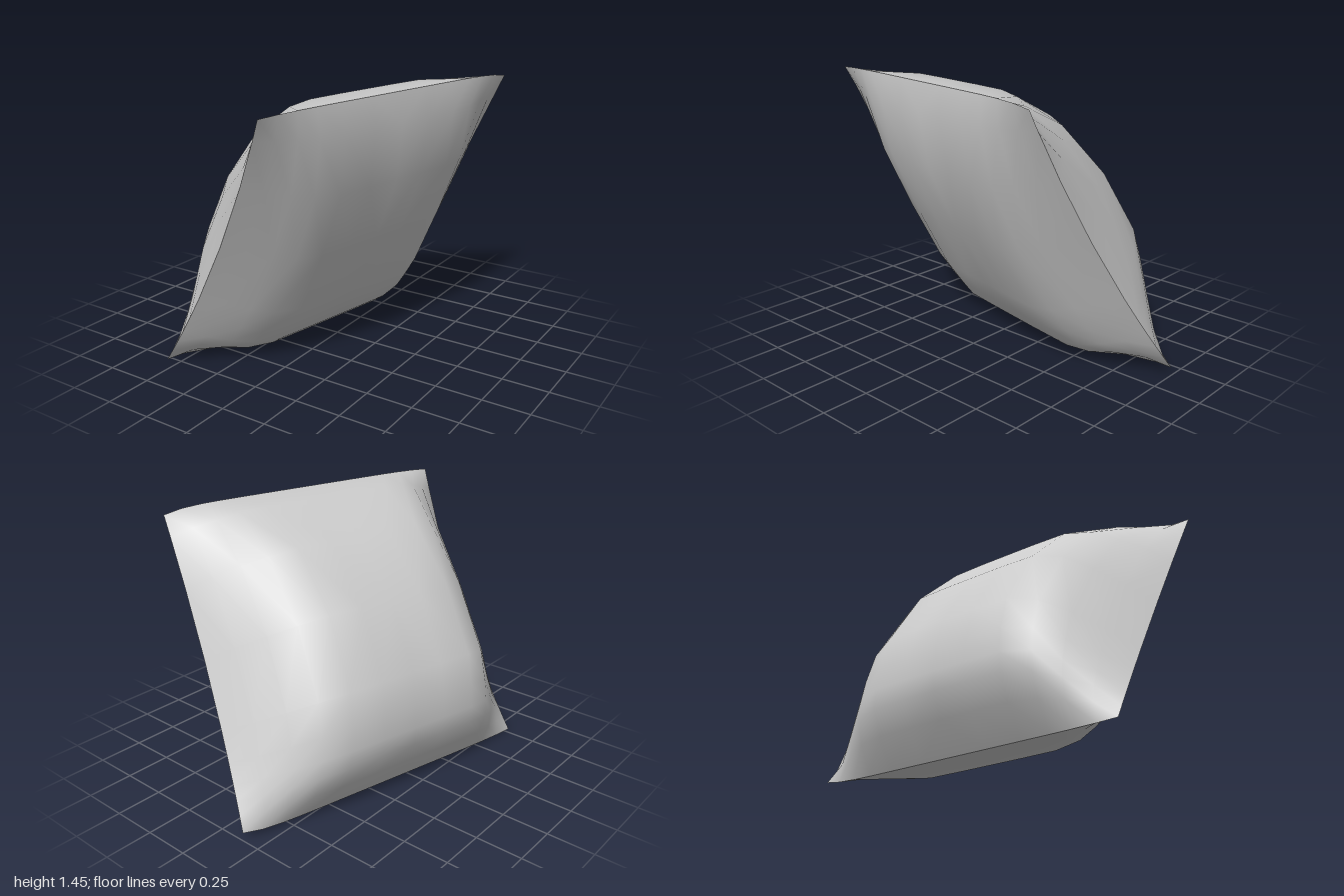
import * as THREE from 'three';

const V = (x, y, z) => new THREE.Vector3(x, y, z);

// The four seam corners of the leaning cushion
const bottomFront = V(-0.57, 0.01, 0.78);
const bottomBack = V(-0.15, 0.05, -1);
const topFront = V(0.26, 1.43, 1);
const topBack = V(0.63, 1.43, -0.71);
const normal = V(-0.838, 0.512, -0.186).normalize();

// Lengthwise stations from bottom seam to top seam, with the height of each cover there
const HALF = 0.82;
const stations = [-HALF, -0.74, -0.66, -0.58, -0.47, -0.31, 0.064, 0.43, 0.7, HALF];
const upperHeights = [0, 0.17, 0.285, 0.345, 0.4, 0.455, 0.452, 0.35, 0.18, 0];
const lowerHeights = [0, -0.125, -0.225, -0.26, -0.273, -0.285, -0.258, -0.208, -0.095, 0];

// Crosswise fullness: flat middle, ramping down to the side seams
const ramp = [[1, 0], [0.88, 0.31], [0.75, 0.61], [0.62, 0.86], [0.45, 0.99], [0.22, 1]];
const fullness = [...ramp.map(([t, w]) => [-t, w]), [0, 1], ...[...ramp].reverse()];

// Point on the seam sheet; side seams bow inward and down, end seams outward
function seamPoint(s, t) {
  const mid = 1 - s * s;
  const bulge = 0.03 * (0.8 + 0.4 * t) * (1 - t ** 8);
  const a = (s * (1 + bulge) + 1) / 2;
  const b = (t * (1 - 0.042 * mid) + 1) / 2;
  const front = bottomFront.clone().lerp(topFront, a);
  const back = bottomBack.clone().lerp(topBack, a);
  return front.lerp(back, b).addScaledVector(normal, -0.03 * mid * t ** 4);
}

function cushionSide(heights, flip) {
  const pos = [], idx = [], cols = fullness.length;
  const tri = (p, q, r) => flip ? idx.push(p, r, q) : idx.push(p, q, r);
  stations.forEach((u, i) => fullness.forEach(([t, w], j) => {
    const p = seamPoint(u / HALF, t).addScaledVector(normal, heights[i] * w);
    pos.push(p.x, Math.max(0, p.y), p.z);
    if (i === 0 || j === 0) return;
    const d = i * cols + j, c = d - 1, b = d - cols, a = b - 1;
    // Diagonals run toward the nearest corner
    if ((u + stations[i - 1]) * (t + fullness[j - 1][0]) > 0) {
      tri(a, c, d);
      tri(a, d, b);
    } else {
      tri(a, c, b);
      tri(c, d, b);
    }
  }));
  const g = new THREE.BufferGeometry();
  g.setAttribute('position', new THREE.Float32BufferAttribute(pos, 3));
  g.setIndex(idx);
  g.computeVertexNormals();
  return g;
}

export function createModel() {
  const group = new THREE.Group();
  group.name = 'cushion';
  const material = new THREE.MeshStandardMaterial({ color: 0xcccccc, side: THREE.DoubleSide });
  const add = (name, geometry) => {
    const mesh = new THREE.Mesh(geometry, material);
    mesh.name = name;
    group.add(mesh);
  };
  add('upperCover', cushionSide(upperHeights, false));
  add('lowerCover', cushionSide(lowerHeights, true));
  return group;
}
